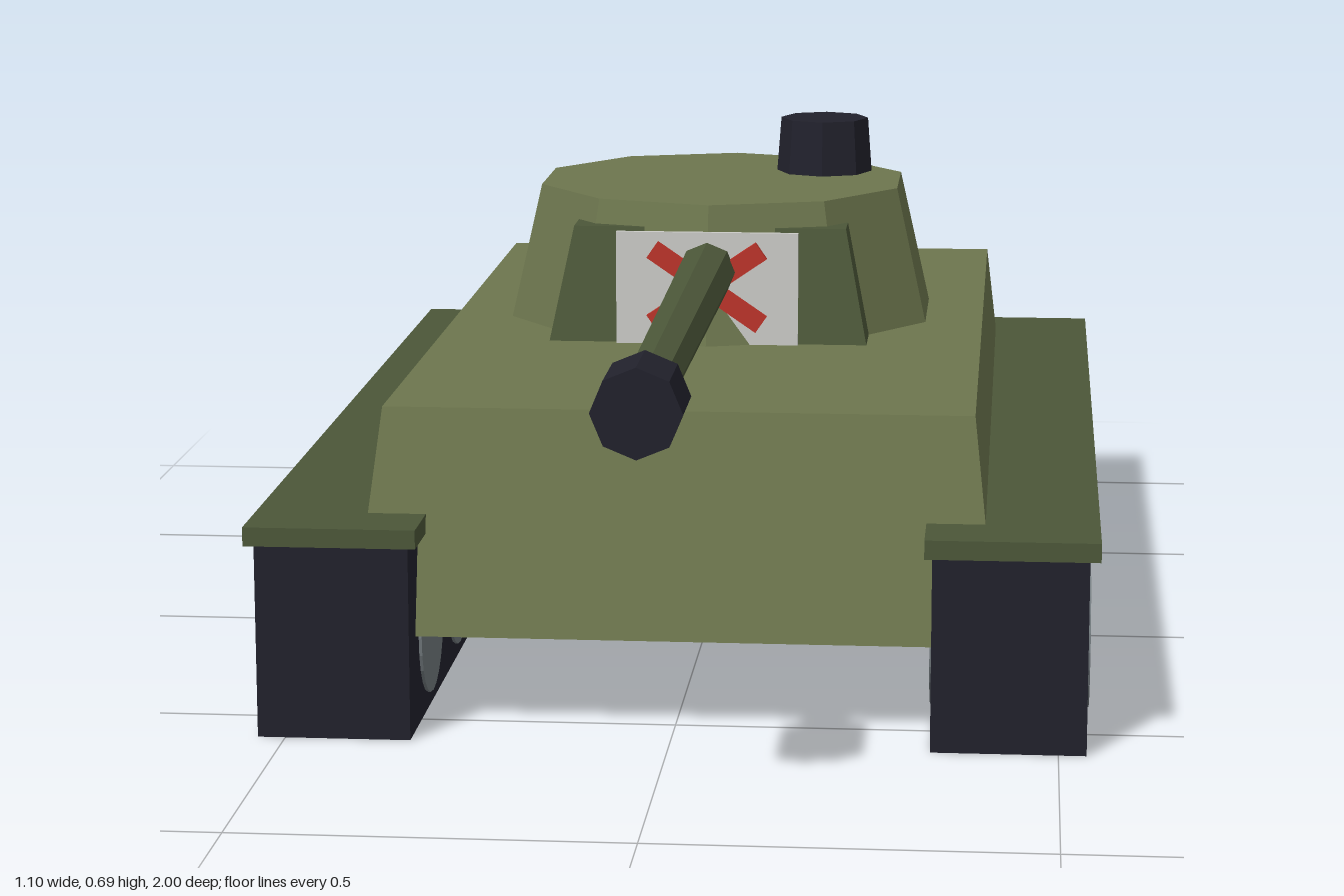
import * as THREE from 'three';

const flat = (name, color) => {
  const m = new THREE.MeshStandardMaterial({ color, flatShading: true });
  m.name = name;
  return m;
};

export function createModel() {
  const group = new THREE.Group();
  const olive = flat('olive', 0x6d764e);
  const darkOlive = flat('darkOlive', 0x4c5739);
  const black = flat('nearBlack', 0x21212c);
  const grey = flat('wheelGrey', 0x727a7e);
  const white = flat('white', 0xcbcbc7);
  const red = flat('red', 0xbd342a);

  const add = (name, geo, mat, x = 0, y = 0, z = 0) => {
    const mesh = new THREE.Mesh(geo, mat);
    mesh.name = name;
    mesh.position.set(x, y, z);
    group.add(mesh);
    return mesh;
  };
  const box = (w, h, d) => new THREE.BoxGeometry(w, h, d);

  // Box whose top is narrower than its base; half sizes in x and z
  const taperedBox = (bottomX, bottomZ, topX, topZ, h) => {
    const g = box(2, h, 2);
    const p = g.attributes.position;
    for (let i = 0; i < p.count; i++) {
      const top = p.getY(i) > 0;
      p.setX(i, p.getX(i) * (top ? topX : bottomX));
      p.setZ(i, p.getZ(i) * (top ? topZ : bottomZ));
    }
    g.computeVertexNormals();
    return g;
  };

  // Hull
  add('hull', taperedBox(0.42, 0.745, 0.387, 0.672, 0.29), olive, 0, 0.27, -0.2);

  // Tracks, fenders and road wheels on both sides
  const wheelGeo = new THREE.CylinderGeometry(0.096, 0.096, 0.208, 24).rotateZ(Math.PI / 2);
  for (const [side, s] of [['left', 1], ['right', -1]]) {
    add(side + 'Track', box(0.2, 0.256, 1.59), black, s * 0.436, 0.128, -0.197);
    add(side + 'Fender', box(0.224, 0.025, 1.6), darkOlive, s * 0.438, 0.267, -0.2);
    for (let i = 0; i < 6; i++) {
      add(side + 'Wheel' + (i + 1), wheelGeo, grey, s * 0.436, 0.115, 0.422 - i * 0.2475);
    }
  }

  // Turret with the gun shield block running through it
  add('turret', new THREE.CylinderGeometry(0.274, 0.32, 0.196, 10), olive, 0, 0.512, -0.3);
  add('gunShield', taperedBox(0.226, 0.257, 0.194, 0.218, 0.161), darkOlive, 0, 0.4945, -0.266);

  // Hatch
  add('hatch', new THREE.CylinderGeometry(0.065, 0.071, 0.08, 8), black, 0.145, 0.65, -0.395);

  // Painted plate with crossed bars
  add('shieldPlate', box(0.258, 0.161, 0.008), white, 0, 0.4945, -0.004);
  for (const s of [1, -1]) {
    const bar = add('crossBar', box(0.187, 0.028, 0.009), red, 0, 0.498, 0.004 + s * 0.0004);
    bar.rotation.z = s * 0.6;
  }

  // Gun barrel and muzzle
  const barrelGeo = new THREE.CylinderGeometry(0.032, 0.041, 0.94, 8).rotateX(Math.PI / 2);
  add('barrel', barrelGeo, darkOlive, 0, 0.52, 0.43);
  const muzzleGeo = new THREE.CylinderGeometry(0.055, 0.055, 0.11, 8).rotateX(Math.PI / 2);
  add('muzzle', muzzleGeo, black, 0, 0.52, 0.945);

  return group;
}
